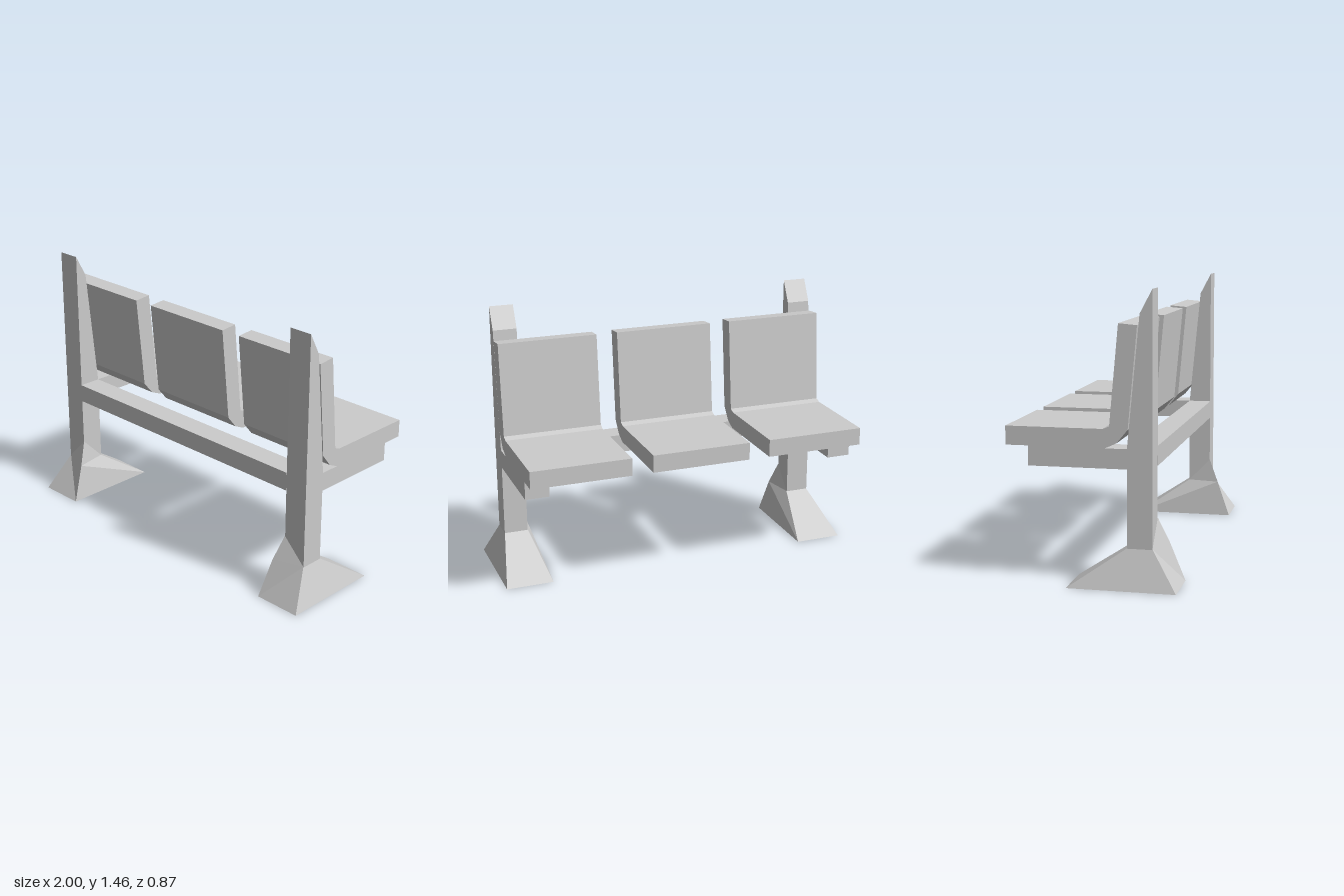
import * as THREE from 'three';

const material = new THREE.MeshStandardMaterial({ color: 0xcccccc, flatShading: true });

// Extrude a side profile of [z, y] points along x, centred on x
function sideProfile(name, points, width, x) {
  const shape = new THREE.Shape(points.map(([z, y]) => new THREE.Vector2(z, y)));
  const geometry = new THREE.ExtrudeGeometry(shape, { depth: width, bevelEnabled: false });
  geometry.rotateY(-Math.PI / 2).translate(x + width / 2, 0, 0);
  const mesh = new THREE.Mesh(geometry, material);
  mesh.name = name;
  return mesh;
}

// Flared foot; side is 1 for +x and -1 for -x
function makeFoot(side) {
  const corners = [
    [0.74, 0, 0.435], [1, 0, 0.435], [1, 0, -0.115], [0.74, 0, -0.115], // ground
    [0.80, 0.33, 0.305], [0.93, 0.2, 0.305], [0.93, 0.2, 0.18], [0.80, 0.2, 0.18], // on the post
    [0.767, 0.2, 0.36], // bulge on the inner edge
  ];
  const faces = [
    [0, 1, 5], [0, 5, 8], [8, 5, 4], // front
    [1, 2, 6], [1, 6, 5], // outer
    [2, 3, 7], [2, 7, 6], // back
    [3, 0, 8], [3, 8, 7], [7, 8, 4], // inner
    [0, 3, 2], [0, 2, 1], // underside
  ];
  const positions = faces.flatMap((f) => (side > 0 ? f : [f[0], f[2], f[1]]))
    .flatMap((i) => [corners[i][0] * side, corners[i][1], corners[i][2]]);
  const geometry = new THREE.BufferGeometry();
  geometry.setAttribute('position', new THREE.Float32BufferAttribute(positions, 3));
  geometry.computeVertexNormals();
  const mesh = new THREE.Mesh(geometry, material);
  mesh.name = 'foot';
  return mesh;
}

export function createModel() {
  const model = new THREE.Group();
  model.name = 'bench';

  // End frames: post with seat arm, plus flared foot
  const frame = [
    [0.305, 0.02], [0.302, 1.463], [0.24, 1.345], [0.178, 0.69],
    [-0.32, 0.69], [-0.32, 0.59], [0.178, 0.59], [0.178, 0.02],
  ];
  for (const side of [1, -1]) {
    const group = new THREE.Group();
    group.name = side > 0 ? 'leftFrame' : 'rightFrame';
    group.add(sideProfile('postAndArm', frame, 0.13, side * 0.866), makeFoot(side));
    model.add(group);
  }

  // Cross beam between the posts
  const beam = new THREE.Mesh(new THREE.BoxGeometry(1.602, 0.1, 0.127), material);
  beam.position.set(0, 0.64, 0.2415);
  beam.name = 'crossBeam';
  model.add(beam);

  // Three bent seat shells
  const seat = [
    [-0.435, 0.69], [0.068, 0.69], [0.127, 0.717], [0.182, 0.785], [0.228, 1.29],
    [0.135, 1.298], [0.09, 0.798], [0.058, 0.785], [-0.435, 0.785],
  ];
  for (const x of [-0.66, 0, 0.66]) model.add(sideProfile('seat', seat, 0.544, x));

  return model;
}
